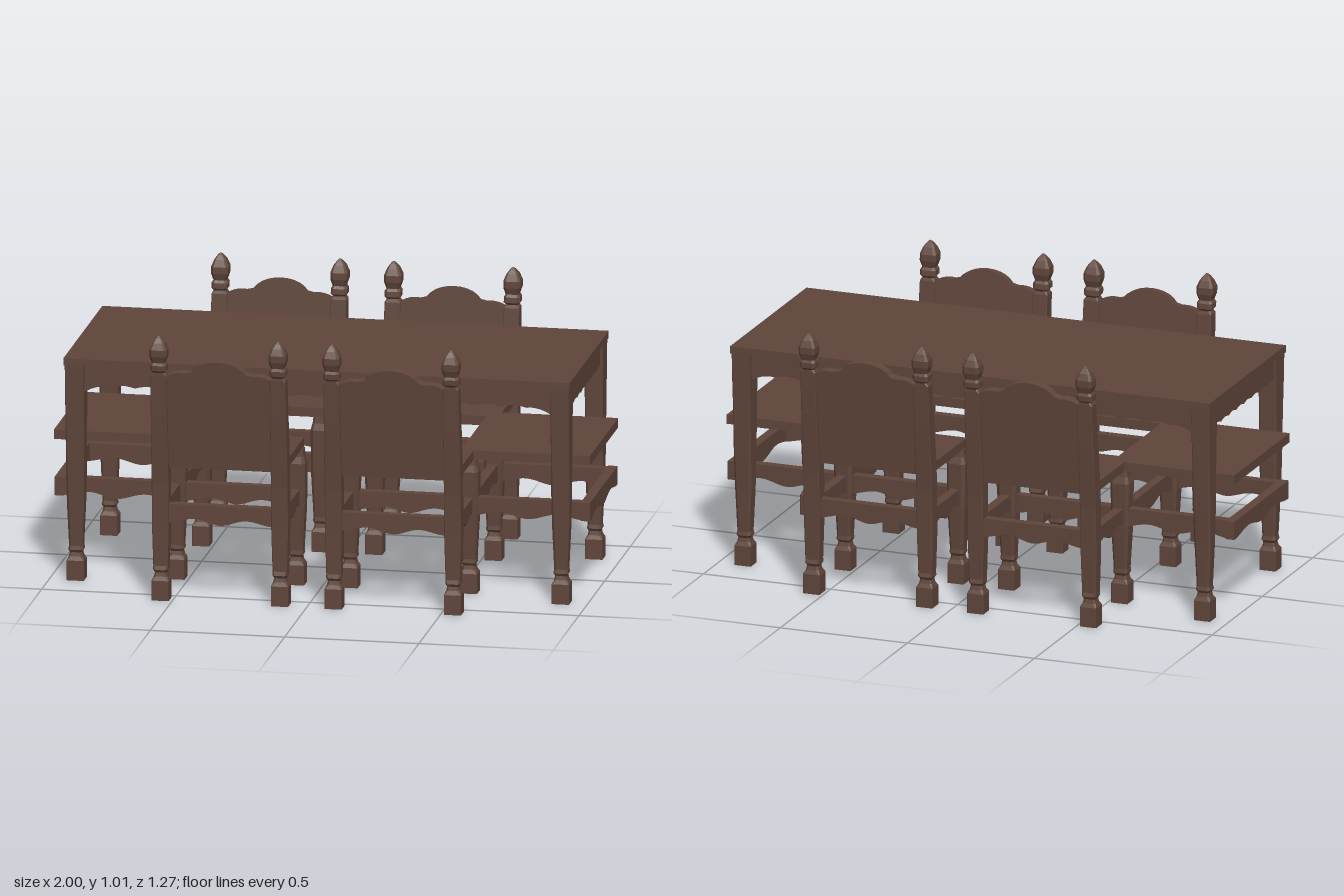
import * as THREE from 'three';

const wood = new THREE.MeshStandardMaterial({ color: 0x5f453a });
wood.name = 'darkWood';

function add(parent, name, geometry, x = 0, y = 0, z = 0) {
  const mesh = new THREE.Mesh(geometry, wood);
  mesh.name = name;
  mesh.position.set(x, y, z);
  parent.add(mesh);
  return mesh;
}

const box = (w, h, d) => new THREE.BoxGeometry(w, h, d);

// Faceted post from chamfered-square sections: [y, half width, half depth, chamfer 0..1, z offset]
function loft(sections) {
  const pos = [], index = [];
  for (const [y, hx, hz, c, oz = 0] of sections) {
    const k = 1 - c * 0.6;
    const ring = [[1, -k], [1, k], [k, 1], [-k, 1], [-1, k], [-1, -k], [-k, -1], [k, -1]];
    for (const [u, v] of ring) pos.push(u * hx, y, v * hz + oz);
  }
  for (let s = 0; s < sections.length - 1; s++) {
    for (let i = 0; i < 8; i++) {
      const a = s * 8 + i, b = s * 8 + (i + 1) % 8;
      index.push(a, a + 8, b, b, a + 8, b + 8);
    }
  }
  const top = (sections.length - 1) * 8;
  for (let i = 1; i < 7; i++) {
    index.push(0, i, i + 1);
    index.push(top, top + i + 1, top + i);
  }
  const g = new THREE.BufferGeometry();
  g.setAttribute('position', new THREE.Float32BufferAttribute(pos, 3));
  g.setIndex(index);
  const flat = g.toNonIndexed();
  flat.computeVertexNormals();
  return flat;
}

// Board along x with a carved lower edge; edge(u) gives the bottom for u in -1..1
function carvedBoard(length, top, thickness, edge, steps = 32) {
  const s = new THREE.Shape();
  s.moveTo(-length / 2, top);
  for (let i = 0; i <= steps; i++) {
    const u = -1 + 2 * i / steps;
    s.lineTo(u * length / 2, edge(u));
  }
  s.lineTo(length / 2, top);
  const g = new THREE.ExtrudeGeometry(s, { depth: thickness, bevelEnabled: false });
  g.translate(0, 0, -thickness / 2);
  return g;
}

const stretcherEdge = u => 0.303 - 0.012 * Math.cos(u * Math.PI * 2) * (1 - 0.4 * Math.abs(u));
const stretcher = (length, thickness = 0.035) => carvedBoard(length, 0.365, thickness, stretcherEdge);

// Block foot and turned neck shared by every leg
const foot = [
  [0, 0.032, 0.031, 0.1], [0.075, 0.032, 0.031, 0.1], [0.09, 0.025, 0.025, 0.5],
  [0.105, 0.022, 0.022, 0.5], [0.115, 0.028, 0.028, 0.5],
];

const frontLegGeometry = loft([
  ...foot, [0.13, 0.026, 0.026, 0.5], [0.29, 0.034, 0.034, 0.5], [0.46, 0.036, 0.036, 0.5],
  [0.485, 0.029, 0.029, 0.5], [0.512, 0.026, 0.026, 0.5],
]);

// Back post leans outward and ends in an acorn finial
const backPostGeometry = loft([
  ...foot, [0.13, 0.027, 0.024, 0.25], [0.28, 0.031, 0.026, 0.15, 0.001], [0.45, 0.031, 0.028, 0.15, 0.005],
  [0.55, 0.031, 0.029, 0.15, 0.013], [0.7, 0.03, 0.027, 0.15, 0.029], [0.86, 0.029, 0.024, 0.15, 0.044],
  [0.872, 0.022, 0.022, 0.5, 0.046], [0.88, 0.03, 0.029, 0.5, 0.047], [0.9, 0.03, 0.029, 0.5, 0.049],
  [0.91, 0.024, 0.024, 0.5, 0.05], [0.935, 0.032, 0.032, 0.5, 0.051], [0.96, 0.032, 0.032, 0.5, 0.052],
  [0.985, 0.022, 0.022, 0.5, 0.053], [1.0, 0.011, 0.011, 0.5, 0.053], [1.008, 0.003, 0.003, 0.5, 0.053],
]);

// Crest rail with stepped shoulders and a central arch
function crestGeometry() {
  const s = new THREE.Shape();
  s.moveTo(-0.2, 0);
  s.lineTo(0.2, 0);
  s.lineTo(0.2, 0.065);
  s.quadraticCurveTo(0.165, 0.088, 0.125, 0.082);
  s.lineTo(0.1, 0.088);
  s.bezierCurveTo(0.065, 0.145, -0.065, 0.145, -0.1, 0.088);
  s.lineTo(-0.125, 0.082);
  s.quadraticCurveTo(-0.165, 0.088, -0.2, 0.065);
  const g = new THREE.ExtrudeGeometry(s, { depth: 0.034, bevelEnabled: false, curveSegments: 10 });
  g.translate(0, 0, -0.017);
  return g;
}

function createChair() {
  const chair = new THREE.Group();
  chair.name = 'sideChair';
  add(chair, 'seat', box(0.486, 0.035, 0.32), 0, 0.5275, 0.37);
  for (const side of [-1, 1]) {
    const x = side * 0.222;
    add(chair, 'frontLeg', frontLegGeometry, x, 0, 0.24);
    add(chair, 'backPost', backPostGeometry, x, 0, 0.55);
    add(chair, 'sideStretcher', stretcher(0.29), x, 0, 0.395).rotation.y = Math.PI / 2;
  }
  add(chair, 'backStretcher', stretcher(0.4), 0, 0, 0.55);
  add(chair, 'frontStretcher', stretcher(0.4), 0, 0, 0.24);
  // Leaning back panel and crest
  const lean = 0.1;
  add(chair, 'backPanel', box(0.4, 0.29, 0.022), 0, 0.65, 0.574).rotation.x = lean;
  add(chair, 'crestRail', crestGeometry(), 0, 0.793, 0.588).rotation.x = lean;
  return chair;
}

// Bench seat at each end, carried by stretchers from the neighbouring legs
function createEndSeat() {
  const end = new THREE.Group();
  end.name = 'endSeat';
  add(end, 'seat', box(0.48, 0.035, 0.55), 0.758, 0.5275, 0);
  for (const side of [-1, 1]) {
    add(end, 'sideStretcher', stretcher(0.44), 0.765, 0, side * 0.245);
  }
  add(end, 'outerStretcher', stretcher(0.54), 0.979, 0, 0).rotation.y = Math.PI / 2;
  add(end, 'innerStretcher', stretcher(0.44), 0.545, 0, 0).rotation.y = Math.PI / 2;
  return end;
}

function createTable() {
  const table = new THREE.Group();
  table.name = 'table';
  add(table, 'tableTop', box(1.885, 0.027, 0.76), 0, 0.8315, 0);
  const legGeometry = loft([
    ...foot, [0.13, 0.025, 0.025, 0.5], [0.29, 0.032, 0.03, 0.5, 0.001], [0.42, 0.034, 0.034, 0.35, 0.003],
    [0.6, 0.034, 0.037, 0.2, 0.005], [0.72, 0.035, 0.04, 0.1, 0.007], [0.82, 0.035, 0.042, 0.05, 0.009],
  ]);
  // Aprons: rounded brackets by the legs, then small scallops
  const bracket = u => 0.025 * Math.max(0, Math.abs(u) - 0.9) * 10;
  const longEdge = u => 0.738 - bracket(u) + 0.008 * Math.abs(Math.sin(u * Math.PI * 9));
  const shortEdge = u => 0.73 + 0.007 * Math.abs(Math.sin(u * Math.PI * 4));
  for (const side of [-1, 1]) {
    for (const end of [-1, 1]) {
      const leg = add(table, 'tableLeg', legGeometry, end * 0.903, 0, side * 0.326);
      if (side < 0) leg.rotation.y = Math.PI;
    }
    add(table, 'longApron', carvedBoard(1.75, 0.82, 0.025, longEdge, 108), 0, 0, side * 0.345);
    add(table, 'endApron', carvedBoard(0.6, 0.82, 0.025, shortEdge, 64), side * 0.915, 0, 0).rotation.y = Math.PI / 2;
  }
  return table;
}

export function createModel() {
  const model = new THREE.Group();
  model.name = 'diningSet';
  model.add(createTable());
  for (const turn of [0, Math.PI]) {
    for (const x of [-0.322, 0.322]) {
      const chair = createChair();
      chair.rotation.y = turn;
      chair.position.x = x;
      model.add(chair);
    }
    const end = createEndSeat();
    end.rotation.y = turn;
    model.add(end);
  }
  return model;
}
